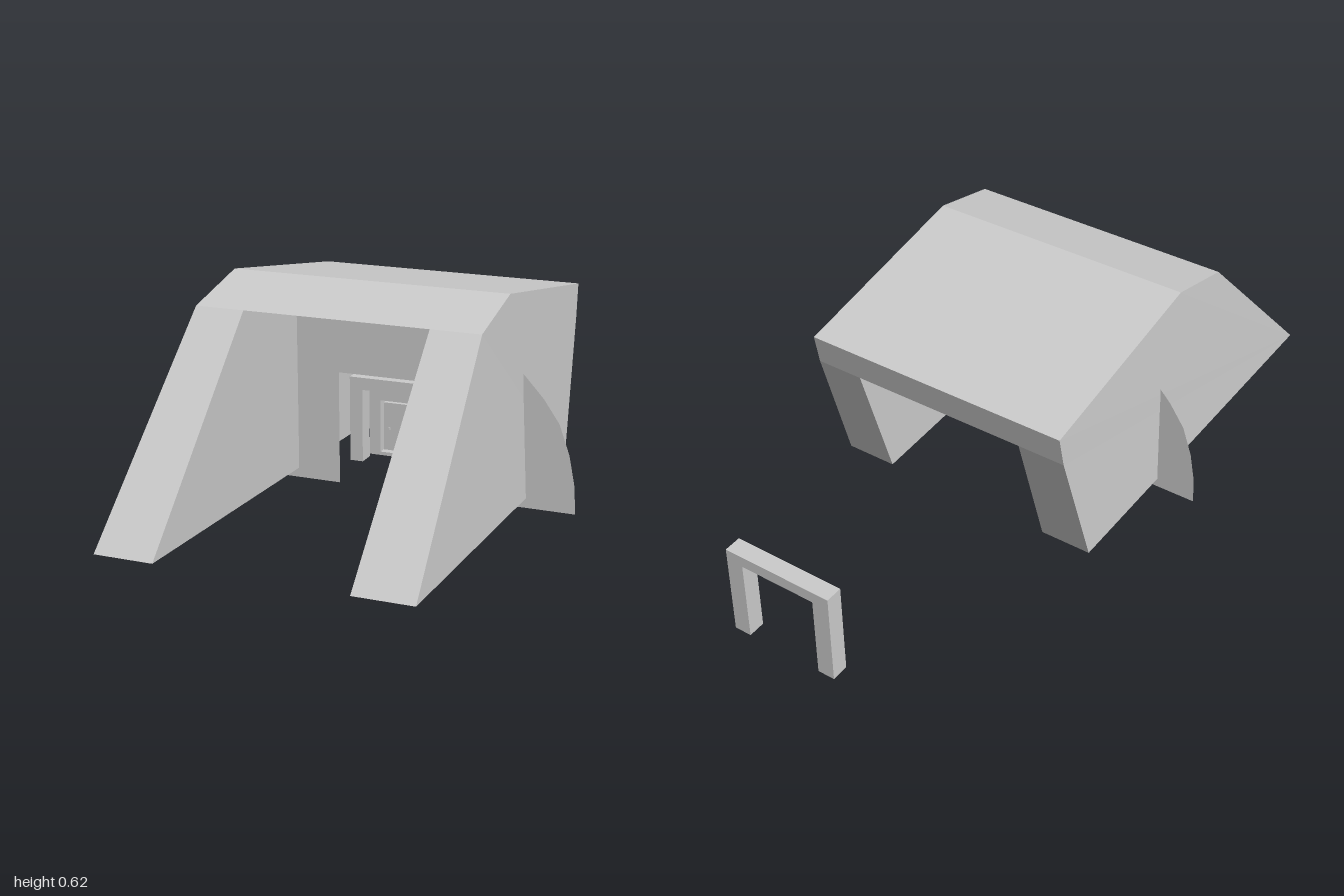
import * as THREE from 'three';

const mat = new THREE.MeshStandardMaterial({ color: 0xcccccc, flatShading: true, side: THREE.DoubleSide });

function addMesh(parent, name, geometry, x = 0, y = 0, z = 0) {
  const mesh = new THREE.Mesh(geometry, mat);
  mesh.name = name;
  mesh.position.set(x, y, z);
  parent.add(mesh);
  return mesh;
}

// Surface from flat-shaded polygons, each fanned from its first corner
function polygons(faces) {
  const pos = [];
  for (const f of faces)
    for (let i = 1; i < f.length - 1; i++) pos.push(...f[0], ...f[i], ...f[i + 1]);
  const g = new THREE.BufferGeometry();
  g.setAttribute('position', new THREE.Float32BufferAttribute(pos, 3));
  g.computeVertexNormals();
  return g;
}

// Door-shaped frame, open at the bottom unless a sill height is given
function frame(outer, top, inner, innerTop, bottom, depth, sill = 0) {
  const s = new THREE.Shape();
  if (sill) {
    s.moveTo(-outer, bottom).lineTo(outer, bottom).lineTo(outer, top).lineTo(-outer, top);
    const h = new THREE.Path();
    h.moveTo(-inner, bottom + sill).lineTo(-inner, innerTop).lineTo(inner, innerTop).lineTo(inner, bottom + sill);
    s.holes.push(h);
  } else {
    s.moveTo(-outer, bottom).lineTo(-inner, bottom).lineTo(-inner, innerTop).lineTo(inner, innerTop);
    s.lineTo(inner, bottom).lineTo(outer, bottom).lineTo(outer, top).lineTo(-outer, top);
  }
  return new THREE.ExtrudeGeometry(s, { depth, bevelEnabled: false });
}

export function createModel() {
  const model = new THREE.Group();
  model.name = 'gateBunker';

  // Hull side outline: [half width, y, z], front tip over the roof to the back foot
  const outer = [[0.43, 0.045, 1], [0.402, 0.565, 0.49], [0.4, 0.62, 0.27],
    [0.4, 0.515, -0.345], [0.402, 0.42, -0.325], [0.415, 0.02, -0.2]];
  // Passage outline: front tip, lintel, back lintel, back foot
  const inner = [[0.264, 0.045, 1], [0.262, 0.565, 0.49], [0.262, 0.42, -0.325], [0.262, 0.02, -0.2]];
  const at = (p, side) => [p[0] * side, p[1], p[2]];
  const span = (a, b) => [at(a, -1), at(a, 1), at(b, 1), at(b, -1)];

  const hull = new THREE.Group();
  hull.name = 'hull';
  hull.position.x = -0.01;
  model.add(hull);

  addMesh(hull, 'roof', polygons([span(outer[1], outer[2]), span(outer[2], outer[3]), span(outer[3], outer[4])]));
  addMesh(hull, 'ceiling', polygons([span(inner[2], inner[1])]));

  // Hollow legs, open underneath
  for (const side of [1, -1]) {
    const faces = [
      outer.map(p => at(p, 1)),
      inner.map(p => at(p, 1)).reverse(),
      [outer[0], outer[1], inner[1], inner[0]].map(p => at(p, 1)).reverse(),
      [outer[4], outer[5], inner[3], inner[2]].map(p => at(p, 1)),
    ];
    const placed = faces.map(f => (side > 0 ? f.slice().reverse() : f.map(p => at(p, -1))));
    addMesh(hull, side > 0 ? 'leftLeg' : 'rightLeg', polygons(placed));
  }

  // Thin arched wall across the passage, with a doorway
  const rim = [[0.55, 0], [0.546, 0.08], [0.53, 0.165], [0.5, 0.25], [0.455, 0.315],
    [0.4, 0.375], [0.34, 0.435], [0.275, 0.482], [0.225, 0.5]];
  const wall = new THREE.Shape();
  wall.moveTo(0.135, 0);
  rim.forEach(([x, y]) => wall.lineTo(x, y));
  rim.slice().reverse().forEach(([x, y]) => wall.lineTo(-x, y));
  wall.lineTo(-0.145, 0).lineTo(-0.145, 0.325).lineTo(0.135, 0.325);
  addMesh(model, 'archedWall', new THREE.ShapeGeometry(wall), 0, 0, 0.17);

  // Nested door frames behind the wall
  addMesh(model, 'outerDoorFrame', frame(0.112, 0.315, 0.074, 0.28, 0.07, 0.05), -0.002, 0, 0.115);
  addMesh(model, 'innerDoorFrame', frame(0.076, 0.28, 0.043, 0.238, 0.076, 0.04, 0.01), -0.002, 0, 0.07);
  addMesh(model, 'door', new THREE.BoxGeometry(0.084, 0.14, 0.015), -0.002, 0.156, 0.08);
  addMesh(model, 'doorHandle', new THREE.BoxGeometry(0.004, 0.006, 0.006), -0.026, 0.15, 0.09);

  // Free-standing gate behind the hull
  addMesh(model, 'rearGate', frame(0.162, 0.348, 0.112, 0.315, 0.072, 0.05), -0.002, 0, -1);

  return model;
}
